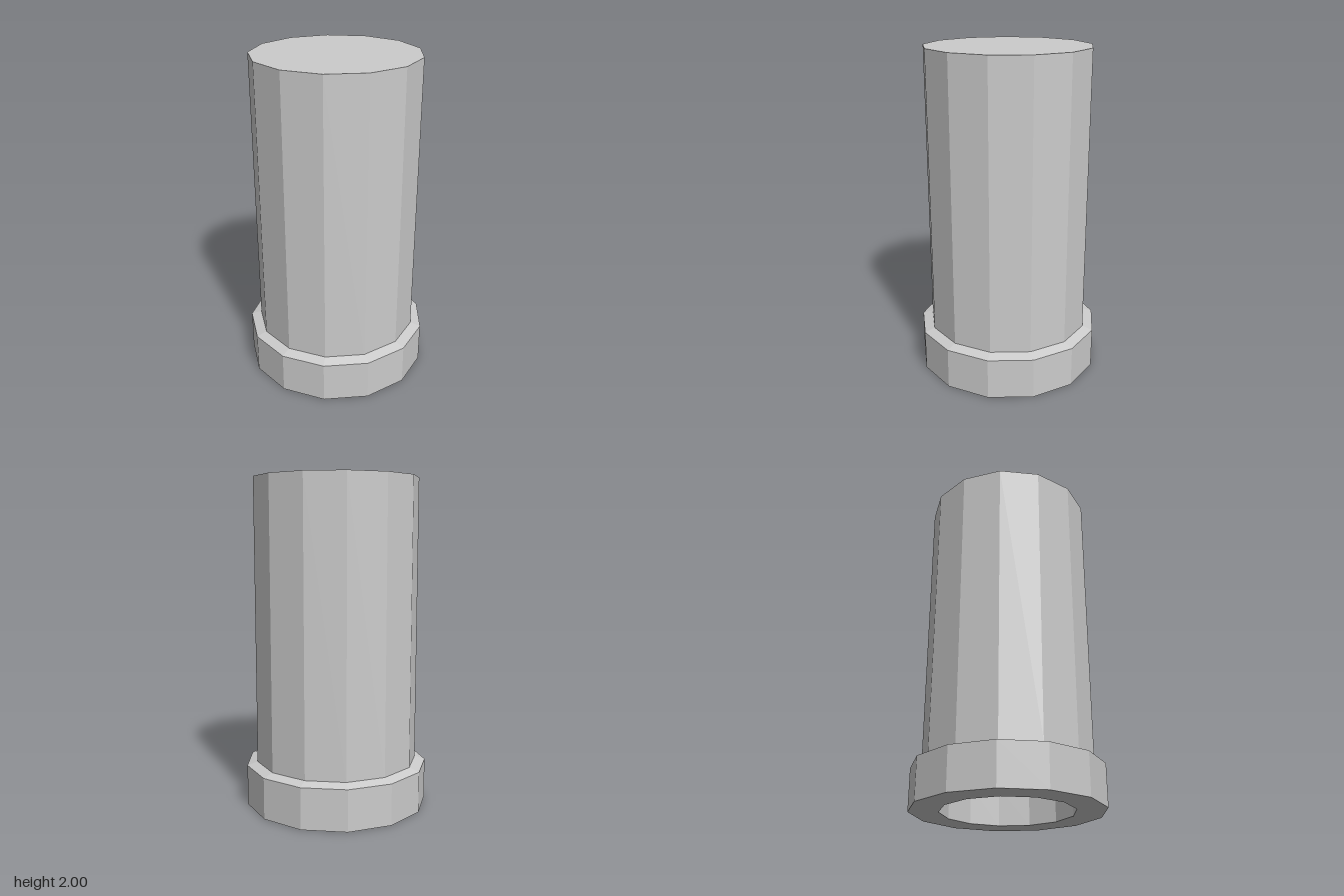
import * as THREE from 'three';

const SIDES = 13;

export function createModel() {
  const group = new THREE.Group();
  const material = new THREE.MeshStandardMaterial({ color: 0xcccccc, flatShading: true });

  // Faceted solid of revolution with one corner facing the front
  const addLathe = (name, profile) => {
    const points = profile.map(([r, y]) => new THREE.Vector2(r, y));
    const mesh = new THREE.Mesh(new THREE.LatheGeometry(points, SIDES), material);
    mesh.name = name;
    mesh.position.z = -0.008; // centres the odd-sided outline
    group.add(mesh);
  };

  // Foot collar: shallow recess underneath, flat rim, bevelled shoulder
  addLathe('baseCollar', [
    [0, 0.232], [0.39, 0.232], [0.39, 0], [0.564, 0], [0.564, 0.25], [0.5, 0.27],
  ]);

  // Tall column with a closed flat top
  addLathe('column', [[0.5, 0.27], [0.5, 2], [0, 2]]);

  return group;
}
